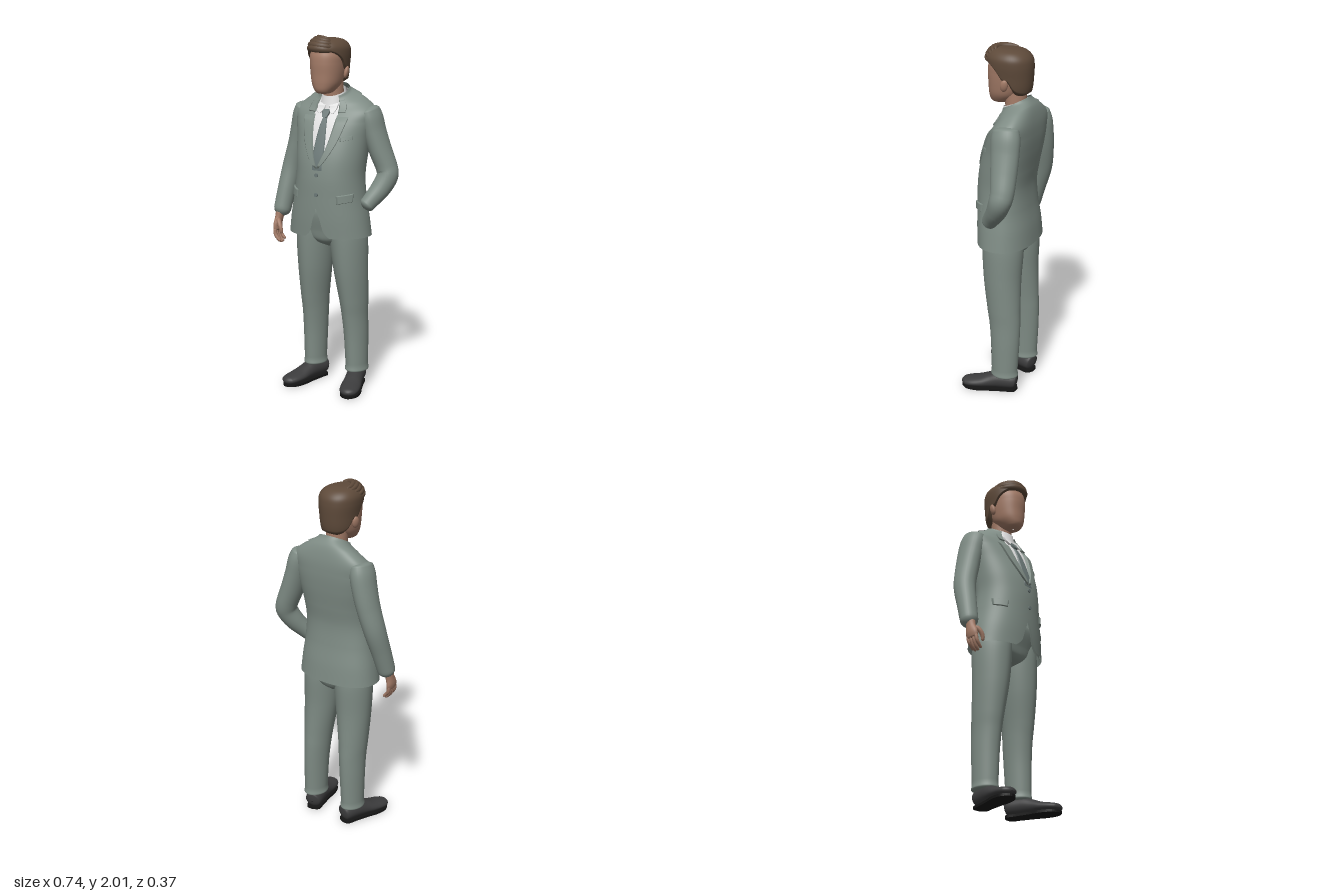
import * as THREE from 'three';
import { ParametricGeometry } from 'three/addons/geometries/ParametricGeometry.js';

const V = (x, y, z) => new THREE.Vector3(x, y, z);
const mat = (name, color, side = THREE.FrontSide) => {
  const m = new THREE.MeshStandardMaterial({ color, side });
  m.name = name;
  return m;
};

// Smooth interpolation through rows; keyed by the first column, or by row index
function curve(rows, keyed = false) {
  const n = rows[0].length;
  const it = new THREE.CubicInterpolant(rows.map((r, i) => (keyed ? r[0] : i)), rows.flat(), n, new Array(n));
  return (k) => Array.from(it.evaluate(k));
}

// Point on a horizontal section [y, cx, halfWidth, zMid, zFront, zBack, nFront, nBack, tilt]; t = 0 is the front
function ringPoint([y, cx, hw, zm, zf, zb, nf, nb, tilt = 0], t, off = 0) {
  const s = Math.sin(t), c = Math.cos(t), n = c > 0 ? nf : nb;
  const x = cx + (hw + off) * Math.sign(s) * Math.abs(s) ** (2 / n);
  const depth = c > 0 ? zf + off - zm : zm - zb + off;
  const z = zm + depth * Math.sign(c) * Math.abs(c) ** (2 / n);
  return V(x, y - tilt * (z + 0.08), z);
}

export function createModel() {
  const group = new THREE.Group();
  const suit = mat('suit cloth', 0x7f8c85, THREE.DoubleSide);
  const tieCloth = mat('tie cloth', 0x6b7877, THREE.DoubleSide);
  const white = mat('shirt white', 0xe2e2e2, THREE.DoubleSide);
  const skin = mat('skin', 0xa37b67);
  const brown = mat('hair brown', 0x5e4a3a, THREE.DoubleSide);
  const leather = mat('shoe leather', 0x3c3c3d);
  const rubber = mat('sole black', 0x161616);

  const add = (name, geo, material) => {
    const m = new THREE.Mesh(geo, material);
    m.name = name;
    group.add(m);
    return m;
  };
  const surface = (name, fn, nu, nv, material) =>
    add(name, new ParametricGeometry((u, v, p) => p.copy(fn(u, v)), nu, nv), material);

  // Closed loft of horizontal sections, from the lowest row up
  const loft = (name, rows, material, nu = 40, nv = 40) => {
    const at = curve(rows);
    return surface(name, (u, v) => ringPoint(at(v * (rows.length - 1)), u * Math.PI * 2), nu, nv, material);
  };

  // Round-ended limb along rows [x, y, z, radiusA, radiusB]
  const sweep = (name, rows, material, { ref = V(0, 0, 1), cap = 0.06, nu = 20, nv = 28 } = {}) => {
    const at = curve(rows), k = rows.length - 1;
    return surface(name, (u, v) => {
      const w = 0.5 - 0.5 * Math.cos(Math.PI * v);
      const [x, y, z, ra, rb] = at(w * k);
      const a = at(Math.max(0, w - 0.02) * k), b = at(Math.min(1, w + 0.02) * k);
      const T = V(b[0] - a[0], b[1] - a[1], b[2] - a[2]).normalize();
      const A = ref.clone().cross(T).normalize(), B = T.clone().cross(A);
      const s = Math.min(1, w / cap, (1 - w) / cap);
      const e = Math.max(0.02, Math.sqrt(Math.max(0, 1 - (1 - s) ** 2)));
      const q = u * Math.PI * 2;
      return V(x, y, z).addScaledVector(A, ra * e * Math.cos(q)).addScaledVector(B, rb * e * Math.sin(q));
    }, nu, nv, material);
  };

  // Jacket body, open at the neck and below the buttons
  const torso = curve([
    [0.90, -0.005, 0.245, -0.03, 0.140, -0.182, 2.1, 2.3, 0],
    [1.00, -0.005, 0.232, -0.03, 0.146, -0.174, 2.1, 2.3, 0],
    [1.12, -0.003, 0.212, -0.03, 0.148, -0.158, 2.1, 2.3, 0],
    [1.24, 0, 0.200, -0.03, 0.146, -0.152, 2.1, 2.4, 0],
    [1.34, 0, 0.206, -0.04, 0.132, -0.165, 2.1, 2.5, 0],
    [1.45, 0, 0.218, -0.06, 0.098, -0.180, 2.1, 2.8, 0],
    [1.54, 0, 0.232, -0.07, 0.062, -0.186, 2.1, 3.0, 0.03],
    [1.605, 0, 0.235, -0.08, 0.030, -0.182, 2.1, 3.0, 0.15],
    [1.655, 0, 0.172, -0.08, 0.012, -0.166, 2.0, 2.5, 0.35],
    [1.70, 0, 0.088, -0.07, 0.004, -0.138, 2.0, 2.1, 0.5],
    [1.715, 0, 0.078, -0.07, 0.002, -0.132, 2.0, 2.0, 0.5],
  ], true);
  const torsoAt = (y) => { const r = torso(y); r[0] = y; return r; };
  const gapAt = curve([[0.9, 0.08], [0.92, 0.056], [1.0, 0.027], [1.08, 0], [1.2, 0], [1.3, 0], [1.4, 0.04],
    [1.5, 0.063], [1.6, 0.073], [1.66, 0.07], [1.715, 0.05]], true);
  const angleAt = (r, x) => Math.sign(x) * Math.asin(Math.min(1, (Math.abs(x) / r[2]) ** (r[6] / 2)));
  const shell = (name, y0, y1, off, material, nv, open = true) => surface(name, (u, v) => {
    const y = y0 + (y1 - y0) * v, r = torsoAt(y);
    const t0 = open ? angleAt(r, Math.max(0, gapAt(y)[1])) : 0;
    return ringPoint(r, t0 + (2 * Math.PI - 2 * t0) * u, off);
  }, 72, nv, material);
  shell('jacketBody', 0.9, 1.712, 0, suit, 70);
  shell('jacketLining', 0.9, 1.2, -0.012, suit, 16);
  shell('jacketCollar', 1.668, 1.714, 0.008, suit, 8);
  shell('shirtBody', 1.22, 1.7, -0.012, white, 30, false);

  // Raised cloth panel lying on the torso: rows [y, xInner, xOuter, slope], lowest first
  const panel = (name, rows, off, side, material) => {
    const at = curve(rows);
    surface(name, (u, v) => {
      const [y, a, b, slope = 0] = at(v * (rows.length - 1));
      const k = side < 0 ? 1 - u : u, x = side * (a + (b - a) * k);
      const h = Math.min(1, 10 * Math.min(u, 1 - u, v, 1 - v));
      const r = torsoAt(y + slope * (k - 0.5));
      return ringPoint(r, angleAt(r, x), -0.004 + (off + 0.004) * h);
    }, 20, 24, material);
  };
  for (const side of [1, -1]) {
    const n = side > 0 ? 'left' : 'right';
    panel(n + 'Lapel', [[1.285, -0.003, 0.004], [1.34, 0.018, 0.05], [1.42, 0.044, 0.093], [1.5, 0.06, 0.12],
      [1.59, 0.07, 0.142]], 0.011, side, suit);
    panel(n + 'CollarFall', [[1.602, 0.07, 0.112], [1.635, 0.069, 0.112], [1.67, 0.065, 0.1], [1.695, 0.058, 0.08]],
      0.011, side, suit);
    panel(n + 'ShirtCollarWing', [[1.595, 0.036, 0.043], [1.63, 0.016, 0.058], [1.672, 0.004, 0.064]], 0.012, side, white);
    panel(n + 'PocketFlap', side > 0
      ? [[1.1, 0.115, 0.19, 0.012], [1.15, 0.11, 0.19, 0.012]]
      : [[1.115, 0.135, 0.196, 0.012], [1.165, 0.13, 0.196, 0.012]], 0.008, side, suit);
  }
  panel('breastPocket', [[1.445, 0.108, 0.175, 0.016], [1.468, 0.108, 0.175, 0.016]], 0.006, 1, suit);
  panel('tieBlade', [[1.25, -0.036, 0.036], [1.4, -0.033, 0.033], [1.5, -0.024, 0.024], [1.585, -0.012, 0.012]], 0.002, 1, tieCloth);
  panel('tieKnot', [[1.572, -0.013, 0.013], [1.6, -0.022, 0.022], [1.632, -0.026, 0.026]], 0.014, 1, tieCloth);
  for (const y of [1.255, 1.145]) {
    const b = add('jacketButton', new THREE.CylinderGeometry(0.011, 0.011, 0.009, 16), tieCloth);
    b.rotation.x = Math.PI / 2;
    b.position.set(0.002, y, torsoAt(y)[4] + 0.003);
  }

  // Sleeves: one hanging, one bent to the pocket
  sweep('rightSleeve', [[-0.195, 1.622, -0.092, 0.05, 0.07], [-0.21, 1.56, -0.098, 0.062, 0.082],
    [-0.228, 1.48, -0.102, 0.062, 0.08], [-0.252, 1.38, -0.1, 0.06, 0.074], [-0.285, 1.25, -0.085, 0.058, 0.066],
    [-0.305, 1.11, -0.046, 0.053, 0.057], [-0.321, 0.965, -0.006, 0.049, 0.049]], suit, { cap: 0.05, nu: 28, nv: 44 });
  sweep('leftSleeve', [[0.195, 1.622, -0.092, 0.05, 0.07], [0.212, 1.56, -0.1, 0.062, 0.082],
    [0.232, 1.48, -0.106, 0.062, 0.08], [0.264, 1.38, -0.114, 0.062, 0.074], [0.3, 1.285, -0.122, 0.06, 0.066],
    [0.309, 1.235, -0.113, 0.06, 0.062], [0.285, 1.17, -0.08, 0.056, 0.056], [0.25, 1.11, -0.035, 0.047, 0.048],
    [0.222, 1.065, 0, 0.042, 0.042]], suit, { cap: 0.05, nu: 28, nv: 48 });

  // Hanging hand
  sweep('rightPalm', [[-0.321, 1.0, -0.004, 0.026, 0.03], [-0.326, 0.955, 0.006, 0.022, 0.03],
    [-0.33, 0.915, 0.016, 0.019, 0.039], [-0.326, 0.88, 0.02, 0.015, 0.037]], skin, { cap: 0.12 });
  for (let i = 0; i < 4; i++) {
    const z = -0.01 + i * 0.019, drop = [0.012, 0, 0, 0.008][i];
    sweep('rightFinger', [[-0.33, 0.9, z, 0.011, 0.011], [-0.326, 0.868, z + 0.003, 0.0105, 0.0105],
      [-0.312, 0.838 + drop, z + 0.005, 0.0095, 0.0095], [-0.292, 0.818 + drop, z + 0.004, 0.008, 0.008]], skin,
    { cap: 0.1, nu: 10, nv: 14 });
  }
  sweep('rightThumb', [[-0.318, 0.955, 0.03, 0.014, 0.014], [-0.296, 0.925, 0.05, 0.013, 0.013],
    [-0.284, 0.895, 0.055, 0.011, 0.011], [-0.282, 0.872, 0.052, 0.008, 0.008]], skin, { cap: 0.12, nu: 12, nv: 14 });

  // Trousers and shoes
  loft('trouserSeat', [[0.825, 0, 0.03, -0.04, 0.0, -0.1, 2, 2], [0.86, 0, 0.13, -0.04, 0.065, -0.14, 2, 2],
    [0.92, 0, 0.205, -0.04, 0.085, -0.155, 2.3, 2.3], [1.06, 0, 0.19, -0.04, 0.1, -0.14, 2.2, 2.2],
    [1.08, 0, 0.002, -0.03, -0.028, -0.032, 2, 2]], suit);
  for (const side of [1, -1]) {
    const n = side > 0 ? 'left' : 'right', s = side > 0 ? 0.026 : 0;
    const leg = [[0.094, 0.123, 0.003, -0.063, -0.06, -0.066], [0.095, 0.123, 0.062, -0.063, 0.014, -0.14],
      [0.14, 0.123, 0.063, -0.063, 0.016, -0.142], [0.3, 0.122, 0.068, -0.063, 0.022, -0.15],
      [0.42, 0.12, 0.073, -0.06, 0.034, -0.152], [0.52, 0.119, 0.081, -0.055, 0.05, -0.149],
      [0.7, 0.112, 0.098, -0.045, 0.076, -0.146], [0.88, 0.107, 0.108, -0.04, 0.088, -0.154],
      [1.0, 0.1, 0.1, -0.04, 0.085, -0.145]];
    loft(n + 'TrouserLeg', leg.map(([y, x, hw, zm, zf, zb]) =>
      [y, side * (x + s * Math.min(1, Math.max(0, (0.9 - y) / 0.7))), hw, zm, zf, zb, 1.85, 1.9]), suit, 40, 48);

    const shoe = sweep(n + 'Shoe', [[0, 0.055, -0.078, 0.04, 0.042], [0, 0.06, -0.045, 0.05, 0.05],
      [0, 0.06, 0.03, 0.05, 0.051], [0, 0.051, 0.085, 0.052, 0.042], [0, 0.041, 0.14, 0.057, 0.032],
      [0, 0.035, 0.2, 0.054, 0.026], [0, 0.03, 0.252, 0.034, 0.02]], leather, { ref: V(0, 1, 0), cap: 0.09, nu: 28, nv: 36 });
    const outline = new THREE.Shape(new THREE.SplineCurve([[0, -0.077], [0.04, -0.06], [0.044, 0], [0.05, 0.08],
      [0.058, 0.15], [0.046, 0.215], [0, 0.25], [-0.046, 0.215], [-0.058, 0.15], [-0.05, 0.08], [-0.044, 0],
      [-0.04, -0.06], [0, -0.077]].map(([x, z]) => new THREE.Vector2(x, -z))).getPoints(60));
    const soleGeo = new THREE.ExtrudeGeometry(outline, { depth: 0.014, bevelEnabled: false }).rotateX(-Math.PI / 2);
    const sole = add(n + 'Sole', soleGeo, rubber);
    for (const m of [shoe, sole]) {
      m.position.set(side * (0.121 + s), 0, -0.06);
      m.rotation.y = side * 0.28;
    }
  }

  // Neck, shirt collar and head
  loft('neck', [[1.6, -0.003, 0.064, -0.06, 0, -0.125, 2, 2], [1.68, -0.005, 0.06, -0.06, 0, -0.118, 2, 2],
    [1.8, -0.01, 0.062, -0.05, 0.01, -0.115, 2, 2]], skin, 28, 10);
  loft('shirtCollar', [[1.63, 0, 0.08, -0.06, 0.024, -0.13, 2, 2, 0.4], [1.675, 0, 0.073, -0.06, 0.014, -0.128, 2, 2, 0.4],
    [1.712, 0, 0.066, -0.06, 0.007, -0.124, 2, 2, 0.4]], white, 32, 10);
  loft('head', [[1.693, -0.01, 0.003, 0.04, 0.045, 0.035, 2, 2], [1.697, -0.01, 0.036, 0.035, 0.076, -0.01, 2.2, 2],
    [1.715, -0.01, 0.056, 0.02, 0.092, -0.05, 2.2, 2], [1.75, -0.01, 0.077, 0, 0.098, -0.09, 2.2, 2],
    [1.8, -0.01, 0.088, -0.01, 0.1, -0.125, 2.2, 2], [1.86, -0.01, 0.095, -0.02, 0.103, -0.138, 2.2, 2],
    [1.91, -0.01, 0.096, -0.02, 0.098, -0.138, 2.1, 2], [1.955, -0.01, 0.075, -0.02, 0.075, -0.11, 2, 2],
    [1.975, -0.01, 0.003, -0.02, -0.017, -0.023, 2, 2]], skin);
  for (const side of [1, -1]) {
    const ear = add(side > 0 ? 'leftEar' : 'rightEar', new THREE.SphereGeometry(1, 18, 14), skin);
    ear.scale.set(0.013, 0.034, 0.021);
    ear.position.set(-0.01 + side * 0.102, 1.81, -0.032);
    ear.rotation.set(-0.15, side * 0.3, -side * 0.15);
  }

  // Hair cap with a shaped hairline, and side-swept locks
  const hair = curve([[1.72, 0.075, -0.04, 0.08, -0.125], [1.78, 0.098, -0.03, 0.1, -0.145], [1.85, 0.106, -0.03, 0.104, -0.152],
    [1.91, 0.112, -0.03, 0.11, -0.153], [1.95, 0.108, -0.03, 0.11, -0.144], [1.98, 0.084, -0.03, 0.088, -0.114],
    [1.994, 0.048, -0.025, 0.05, -0.07], [1.997, 0.002, -0.02, -0.018, -0.022]]);
  const hairPoint = (k, t, off) => {
    const [y, hw, zm, zf, zb] = hair(k);
    return ringPoint([y, -0.01, hw, zm, zf, zb, 2.1, 2.1], t, off);
  };
  const hairline = curve([[0, 3.35], [0.25, 3.1], [0.4, 2.3], [0.48, 1.55], [0.55, 1.5], [0.64, 0.75], [0.78, 0.4], [1, 0.4]], true);
  surface('hairCap', (u, v) => {
    const t = (u * 2 - 1) * Math.PI, low = hairline(Math.abs(t) / Math.PI)[1];
    return hairPoint(low + (7 - low) * v, t, -0.025 * Math.max(0, 1 - v / 0.05));
  }, 64, 40, brown);
  for (let i = 0; i < 5; i++) {
    const rows = [];
    for (let j = 0; j <= 5; j++) {
      const p = hairPoint(3.45 + i * 0.5 + 0.35 * Math.sin(j * 0.6), 0.75 - j * (0.42 + i * 0.03), -0.006);
      const r = [0.008, 0.015, 0.017, 0.016, 0.012, 0.005][j];
      rows.push([p.x, p.y, p.z, r, r * 1.2]);
    }
    sweep('hairLock', rows, brown, { ref: V(0, 1, 0), cap: 0.1, nu: 12, nv: 22 });
  }

  return group;
}
